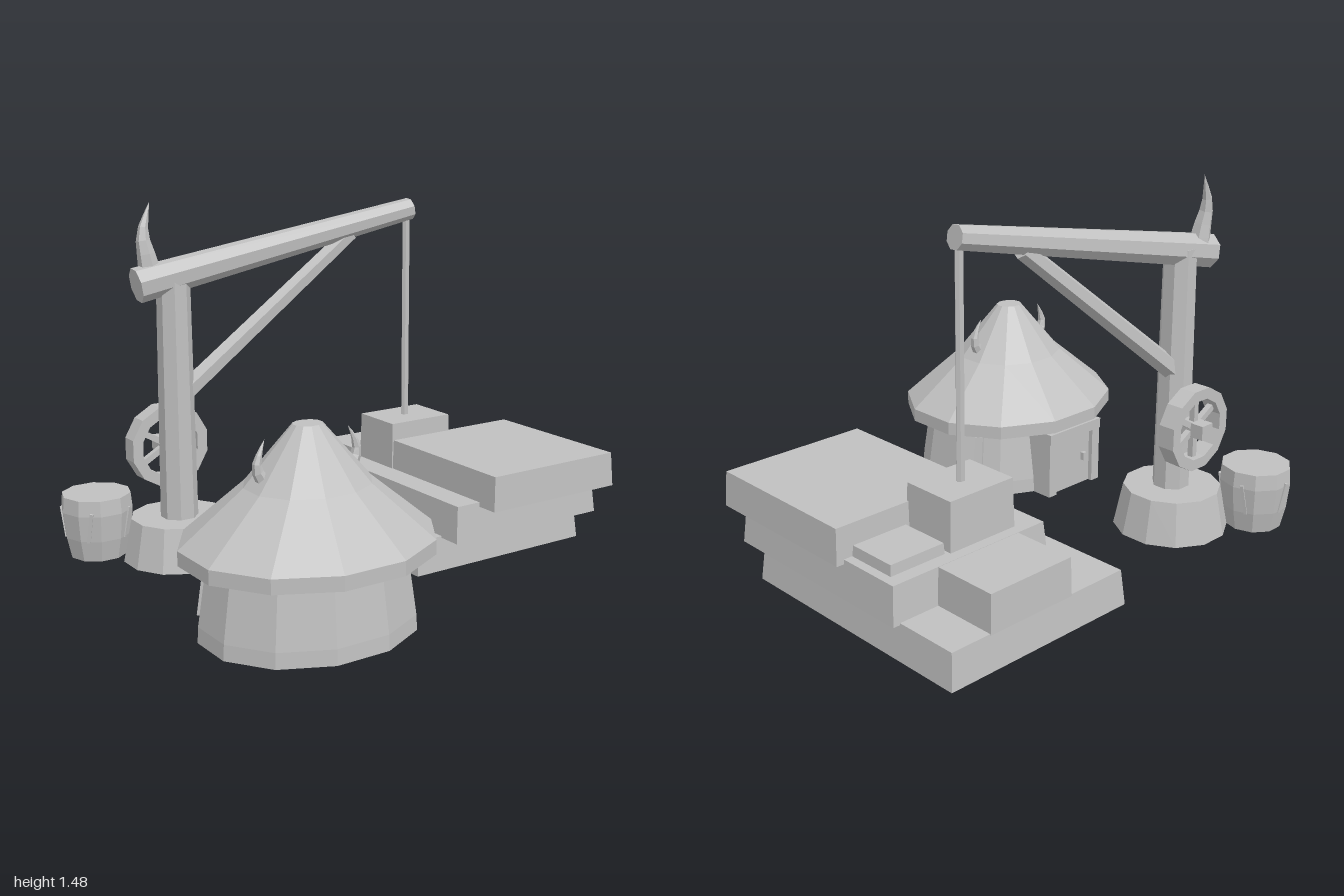
import * as THREE from 'three';

export function createModel() {
  const model = new THREE.Group();
  const stone = new THREE.MeshStandardMaterial({ color: 0xc0c0c0, side: THREE.DoubleSide });
  stone.name = 'plain grey';

  // Adds a faceted mesh
  function add(name, geometry, parent = model) {
    const geo = geometry.index ? geometry.toNonIndexed() : geometry;
    geo.computeVertexNormals();
    const mesh = new THREE.Mesh(geo, stone);
    mesh.name = name;
    parent.add(mesh);
    return mesh;
  }

  function group(name, x, y, z) {
    const g = new THREE.Group();
    g.name = name;
    g.position.set(x, y, z);
    model.add(g);
    return g;
  }

  // Many-sided turned shape; radii are measured to the flats
  function turned(profile, sides, start, zScale = 1) {
    const k = 1 / Math.cos(Math.PI / sides);
    const pts = profile.map(([r, y]) => new THREE.Vector2(r * k, y));
    return new THREE.LatheGeometry(pts, sides, start).scale(1, 1, zScale);
  }

  // Tapered beam between two points
  function beam(name, from, to, r0, r1, sides) {
    const a = new THREE.Vector3(...from), b = new THREE.Vector3(...to);
    const mesh = add(name, new THREE.CylinderGeometry(r1, r0, a.distanceTo(b), sides)
      .rotateY(Math.PI / sides));
    mesh.position.copy(a).lerp(b, 0.5);
    mesh.quaternion.setFromUnitVectors(new THREE.Vector3(0, 1, 0), b.clone().sub(a).normalize());
    return mesh;
  }

  // Curved horn: a tube whose rings shrink towards the tip
  function horn(name, points, radius, parent) {
    const curve = new THREE.CatmullRomCurve3(points.map(p => new THREE.Vector3(...p)));
    const rings = 6, sides = 6;
    const geo = new THREE.TubeGeometry(curve, rings, radius, sides, false);
    const pos = geo.attributes.position, v = new THREE.Vector3();
    for (let i = 0; i < pos.count; i++) {
      const t = Math.floor(i / (sides + 1)) / rings;
      const c = curve.getPointAt(t);
      v.fromBufferAttribute(pos, i).sub(c).multiplyScalar(1 - Math.pow(t, 1.4)).add(c);
      pos.setXYZ(i, v.x, v.y, v.z);
    }
    return add(name, geo, parent);
  }

  // Stone block with slightly sloping sides and an open underside
  function block(name, x0, x1, y0, y1, z0, z1, taper) {
    const w = x1 - x0, h = y1 - y0, d = z1 - z0;
    const geo = new THREE.BoxGeometry(w, h, d);
    const pos = geo.attributes.position;
    for (let i = 0; i < pos.count; i++) {
      if (pos.getY(i) > 0) {
        pos.setX(i, pos.getX(i) * (1 - 2 * taper / w));
        pos.setZ(i, pos.getZ(i) * (1 - 2 * taper / d));
      }
    }
    const index = Array.from(geo.index.array);
    index.splice(18, 6);
    geo.setIndex(index);
    add(name, geo).position.set((x0 + x1) / 2, (y0 + y1) / 2, (z0 + z1) / 2);
  }

  // Stepped stone pile
  block('lowerSlab', 0.096, 0.963, 0, 0.142, -0.823, 0.275, 0.013);
  block('middleSlab', 0.225, 0.98, 0.135, 0.285, -0.545, 0.36, 0.013);
  block('upperSlab', 0.348, 1, 0.267, 0.41, -0.262, 0.442, 0.008);
  block('hoistedBlock', 0.345, 0.663, 0.28, 0.483, -0.487, -0.243, 0.005);
  block('smallBlock', 0.68, 0.93, 0.28, 0.328, -0.475, -0.262, 0.003);
  block('rearBlock', 0.378, 0.775, 0.138, 0.292, -0.814, -0.54, 0.004);

  // Round hut
  const hut = group('hut', -0.53, 0, 0.445);
  const turn = Math.PI / 12;
  add('hutWall', turned([[0.41, 0], [0.407, 0.06], [0.37, 0.31]], 12, turn, 0.85), hut);
  add('hutRoof', turned([[0.36, 0.3], [0.47, 0.295], [0.47, 0.35], [0.235, 0.55],
    [0.055, 0.765], [0, 0.765]], 12, turn, 0.89), hut);
  for (const s of [-1, 1]) {
    horn('roofHorn', [[s * 0.175, 0.565, 0], [s * 0.21, 0.63, 0], [s * 0.2, 0.68, 0],
      [s * 0.175, 0.73, -0.005]], 0.027, hut);
    // Slit windows beside the door
    const slit = add('slitWindow', new THREE.BoxGeometry(0.02, 0.19, 0.035), hut);
    slit.position.set(s * 0.344, 0.165, -0.168);
    slit.rotation.set(0, s * 0.56, s * 0.14);
    // Door posts
    add('doorPost', new THREE.BoxGeometry(0.045, 0.27, 0.26), hut)
      .position.set(s * 0.135, 0.135, -0.29);
  }
  add('doorLintel', new THREE.BoxGeometry(0.315, 0.045, 0.27), hut).position.set(0, 0.27, -0.29);
  add('door', new THREE.BoxGeometry(0.23, 0.25, 0.03), hut).position.set(0, 0.125, -0.385);
  add('doorHandle', new THREE.BoxGeometry(0.02, 0.035, 0.02), hut).position.set(-0.07, 0.13, -0.408);

  // Crane
  const foot = group('craneFoot', -0.565, 0, -0.495);
  add('footRing', turned([[0.23, 0], [0.195, 0.18], [0, 0.18]], 12, turn), foot);
  beam('cranePost', [-0.57, 0.15, -0.485], [-0.57, 1.19, -0.48], 0.078, 0.068, 8);
  beam('craneBoom', [-0.725, 1.152, -0.493], [0.525, 1.397, -0.37], 0.072, 0.047, 8);
  beam('craneBrace', [-0.54, 0.69, -0.487], [0.23, 1.306, -0.4], 0.045, 0.037, 6);
  beam('rope', [0.506, 0.47, -0.37], [0.506, 1.39, -0.37], 0.019, 0.019, 6).scale.z = 0.75;
  horn('boomHorn', [[-0.655, 1.17, -0.5], [-0.672, 1.27, -0.505], [-0.68, 1.35, -0.515],
    [-0.64, 1.475, -0.527]], 0.046, model);

  // Winch wheel behind the post
  const wheel = group('winchWheel', -0.565, 0.46, -0.592);
  const rim = turned([[0.125, -0.037], [0.17, -0.037], [0.17, 0.037], [0.125, 0.037],
    [0.125, -0.037]], 12, turn).rotateX(Math.PI / 2);
  add('wheelRim', rim, wheel);
  for (let i = 0; i < 3; i++) {
    add('wheelSpokes', new THREE.BoxGeometry(0.26, 0.025, 0.025), wheel)
      .rotation.z = Math.PI / 6 + i * Math.PI / 3;
  }
  add('wheelHub', new THREE.BoxGeometry(0.065, 0.06, 0.13), wheel).position.z = -0.007;

  // Barrel with thin cracks on its staves
  const barrel = group('barrel', -0.833, 0, -0.722);
  add('barrelBody', turned([[0.113, 0], [0.132, 0.09], [0.143, 0.2], [0.137, 0.265],
    [0, 0.265]], 10, Math.PI / 10), barrel).rotation.y = Math.PI / 10 * 2;
  for (let i = 0; i < 5; i++) {
    const a = (i * 2 + 0.5) * Math.PI / 5;
    const spoke = new THREE.Group();
    spoke.name = 'barrelCrack';
    spoke.rotation.y = Math.round(a / (Math.PI / 5)) * Math.PI / 5;
    barrel.add(spoke);
    const crack = add('crackStrip', new THREE.BoxGeometry(0.014, 0.13, 0.009), spoke);
    crack.position.set(0, 0.15, 0.139);
    crack.rotation.set(0.12, 0, i % 2 ? 0.15 : -0.15);
  }
  return model;
}
